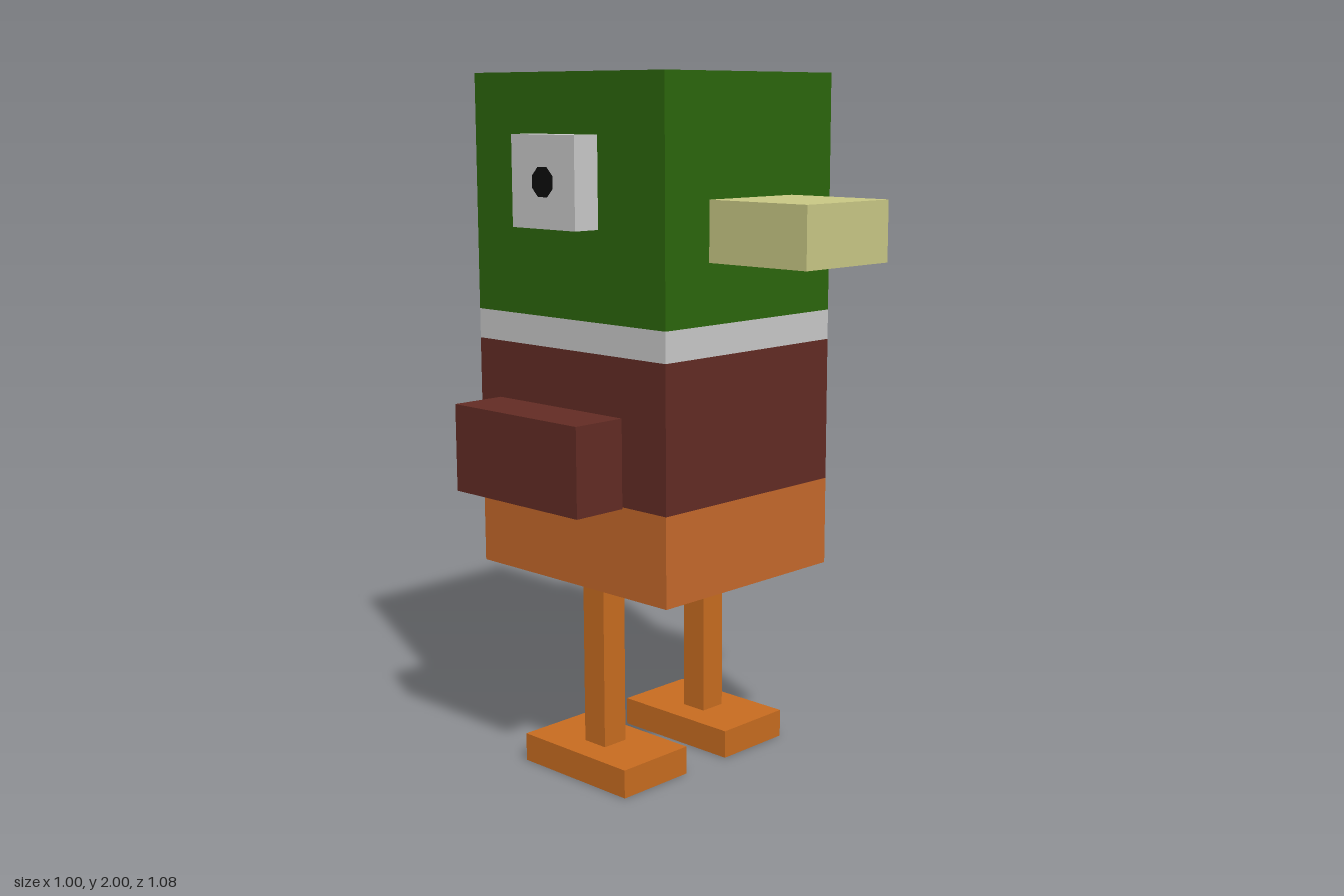
import * as THREE from 'three';

const material = (name, color) => {
  const m = new THREE.MeshStandardMaterial({ color });
  m.name = name;
  return m;
};

export function createModel() {
  const green = material('headGreen', 0x2c660c);
  const white = material('paleGrey', 0xc9c9c9);
  const maroon = material('featherMaroon', 0x632c24);
  const belly = material('bellyOrange', 0xc5692b);
  const orange = material('legOrange', 0xc86c20);
  const yellow = material('beakYellow', 0xc9c885);
  const black = material('pupilBlack', 0x0c0c0c);

  const duck = new THREE.Group();
  duck.name = 'blockDuck';

  // Box given by its extents on each axis
  const box = (name, mat, [x0, x1], [y0, y1], [z0, z1]) => {
    const mesh = new THREE.Mesh(new THREE.BoxGeometry(x1 - x0, y1 - y0, z1 - z0), mat);
    mesh.position.set((x0 + x1) / 2, (y0 + y1) / 2, (z0 + z1) / 2);
    mesh.name = name;
    duck.add(mesh);
  };

  // Stacked body blocks
  const bodyX = [-0.333, 0.333];
  const bodyZ = [-0.542, 0.208];
  box('belly', belly, bodyX, [0.585, 0.84], bodyZ);
  box('chest', maroon, bodyX, [0.84, 1.25], bodyZ);
  box('collar', white, bodyX, [1.25, 1.335], bodyZ);
  box('head', green, bodyX, [1.335, 2], bodyZ);
  box('beak', yellow, [-0.167, 0.167], [1.502, 1.668], [0.208, 0.542]);

  // Paired parts
  for (const [side, s] of [['left', 1], ['right', -1]]) {
    const span = (a, b) => (s > 0 ? [a, b] : [-b, -a]);
    box(side + 'Wing', maroon, span(0.333, 0.5), [0.835, 1.085], [-0.458, 0.042]);
    box(side + 'Eye', white, span(0.333, 0.416), [1.585, 1.835], [-0.292, -0.042]);
    box(side + 'Leg', orange, span(0.167, 0.25), [0.083, 0.585], [-0.208, -0.125]);
    box(side + 'Foot', orange, span(0.083, 0.333), [0, 0.083], [-0.375, 0.042]);

    // Thin octagonal pupil on the outer face of the eye
    const disc = new THREE.CylinderGeometry(0.043, 0.043, 0.004, 8, 1, false, Math.PI / 8);
    const pupil = new THREE.Mesh(disc, black);
    pupil.rotation.z = Math.PI / 2;
    pupil.position.set(s * 0.417, 1.71, -0.167);
    pupil.name = side + 'Pupil';
    duck.add(pupil);
  }
  return duck;
}
